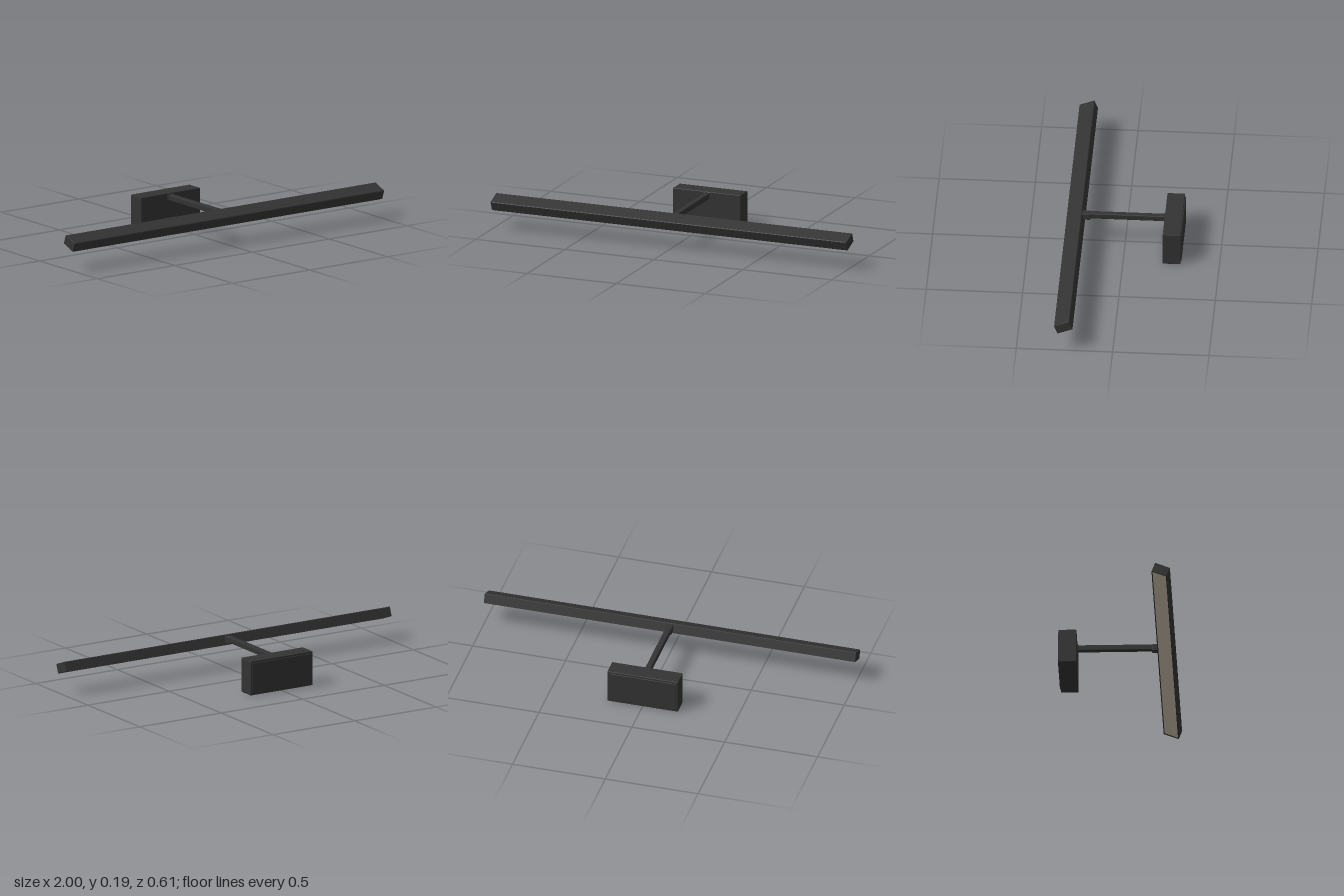
import * as THREE from 'three';
import { RoundedBoxGeometry } from 'three/addons/geometries/RoundedBoxGeometry.js';

export function createModel() {
  const model = new THREE.Group();
  model.name = 'pictureLight';
  const black = new THREE.MeshStandardMaterial({ color: 0x333333 });
  black.name = 'matteBlack';
  const cream = new THREE.MeshStandardMaterial({ color: 0xcfc2ae });
  cream.name = 'creamDiffuser';

  function add(parent, name, geometry, material, x, y, z) {
    const mesh = new THREE.Mesh(geometry, material);
    mesh.name = name;
    mesh.position.set(x, y, z);
    parent.add(mesh);
    return mesh;
  }
  const rounded = (w, h, d, r) => new RoundedBoxGeometry(w, h, d, 2, r);

  // Wall box with a slightly smaller mounting plate behind it
  add(model, 'wallBox', rounded(0.38, 0.183, 0.092, 0.003), black, 0, 0.0915, -0.252);
  add(model, 'mountingPlate', rounded(0.36, 0.16, 0.012, 0.002), black, 0, 0.093, -0.297);
  for (const x of [-0.1, 0.1]) {
    add(model, 'topScrew', new THREE.CylinderGeometry(0.008, 0.008, 0.004, 16), black, x, 0.183, -0.257);
  }

  // Arm, collar at the wall and joint at the lamp
  add(model, 'arm', rounded(0.03, 0.03, 0.40, 0.004), black, 0, 0.16, -0.01);
  add(model, 'armCollar', rounded(0.038, 0.038, 0.008, 0.002), black, 0, 0.161, -0.206);
  add(model, 'joint', rounded(0.036, 0.037, 0.046, 0.004), black, 0, 0.156, 0.203);

  // Tilted lamp head
  const head = new THREE.Group();
  head.name = 'lampHead';
  head.position.set(0, 0.1415, 0.2565);
  head.rotation.x = 0.37;
  model.add(head);

  // Channel open at the bottom, with chamfered top edges
  const w = 0.042, h = 0.0255, wall = 0.004, c = 0.003;
  const profile = new THREE.Shape([
    [-w, -h], [-w + wall, -h], [-w + wall, h - wall], [w - wall, h - wall],
    [w - wall, -h], [w, -h], [w, h - c], [w - c, h], [-w + c, h], [-w, h - c],
  ].map(([x, y]) => new THREE.Vector2(x, y)));
  const channel = new THREE.ExtrudeGeometry(profile, { depth: 1.988, bevelEnabled: false });
  channel.translate(0, 0, -0.994);
  channel.rotateY(-Math.PI / 2);
  add(head, 'lampChannel', channel, black, 0, 0, 0);

  // End caps close the channel
  for (const side of [-1, 1]) {
    add(head, 'endCap', rounded(0.008, 2 * h, 2 * w, 0.002), black, side * 0.996, 0, 0);
  }

  // Recessed diffuser
  add(head, 'diffuser', new THREE.BoxGeometry(1.984, 0.006, 2 * (w - wall)), cream, 0, -h + 0.007, 0);

  return model;
}
